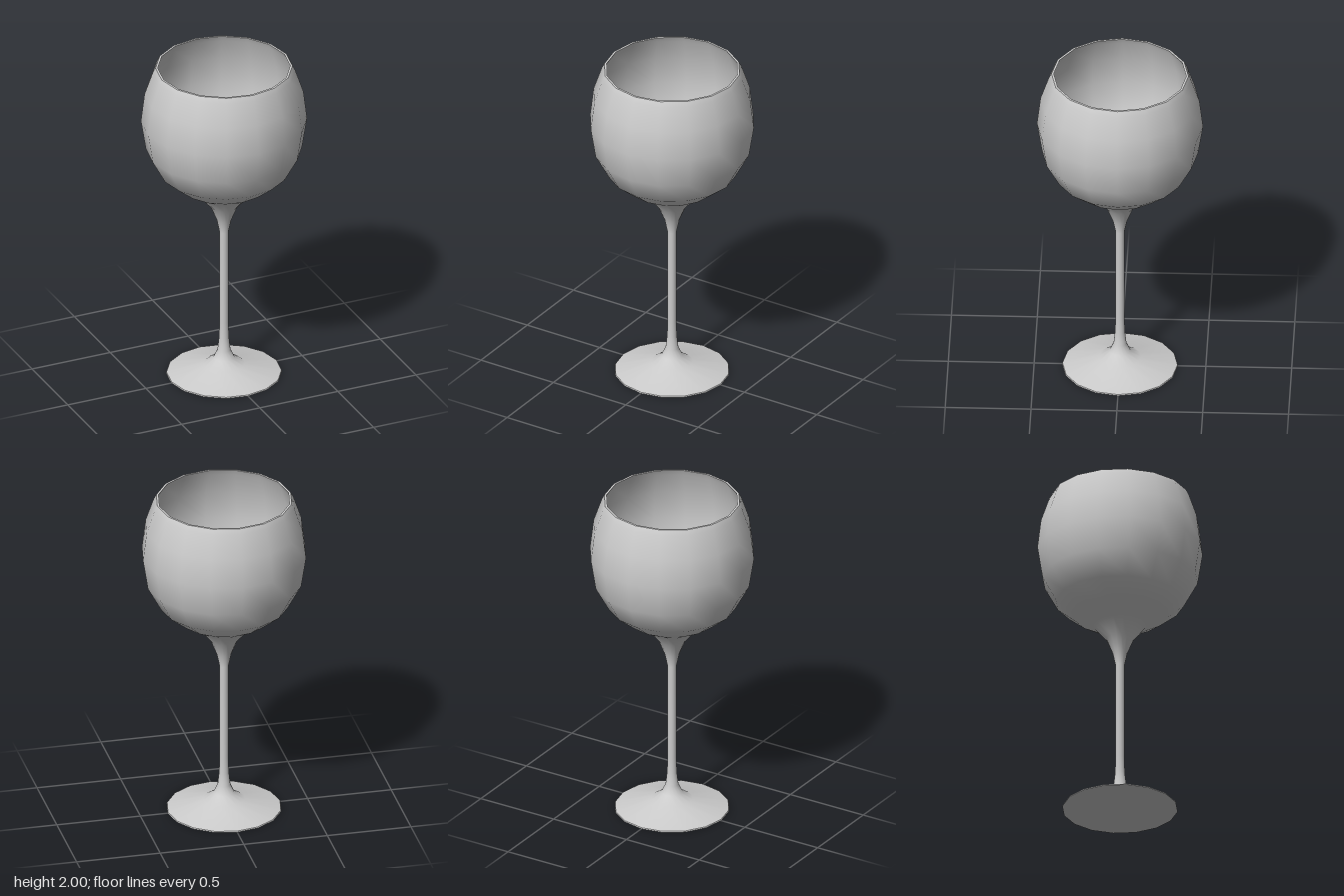
import * as THREE from 'three';

const SIDES = 16;
const material = new THREE.MeshStandardMaterial({ color: 0xcccccc });

// Revolve a [radius, height] profile; separate profiles keep edges sharp between them.
function revolve(name, profile) {
  const points = profile.map(([r, y]) => new THREE.Vector2(r, y));
  const mesh = new THREE.Mesh(new THREE.LatheGeometry(points, SIDES), material);
  mesh.name = name;
  return mesh;
}

export function createModel() {
  const glass = new THREE.Group();
  glass.name = 'wineGlass';

  // Flat underside and thin edge of the foot
  glass.add(revolve('footUnderside', [[0, 0], [0.338, 0]]));
  glass.add(revolve('footEdge', [[0.338, 0], [0.335, 0.007]]));

  // Foot, stem and bowl flow into each other as one smooth outer surface
  glass.add(revolve('outerSurface', [
    [0.335, 0.007], [0.122, 0.06], [0.062, 0.1], [0.038, 0.15], [0.029, 0.23], [0.026, 0.33],
    [0.026, 0.92], [0.043, 1.0], [0.08, 1.09], [0.148, 1.17],
    [0.264, 1.235], [0.376, 1.325], [0.455, 1.47], [0.484, 1.655],
    [0.463, 1.83], [0.415, 1.97], [0.399, 2.0],
  ]));

  // Flat rim
  glass.add(revolve('rim', [[0.399, 2.0], [0.386, 2.0]]));

  // Inside of the bowl
  glass.add(revolve('bowlInterior', [
    [0.386, 2.0], [0.402, 1.965], [0.448, 1.83], [0.468, 1.655],
    [0.44, 1.477], [0.365, 1.338], [0.257, 1.25], [0.14, 1.2], [0, 1.18],
  ]));

  return glass;
}
